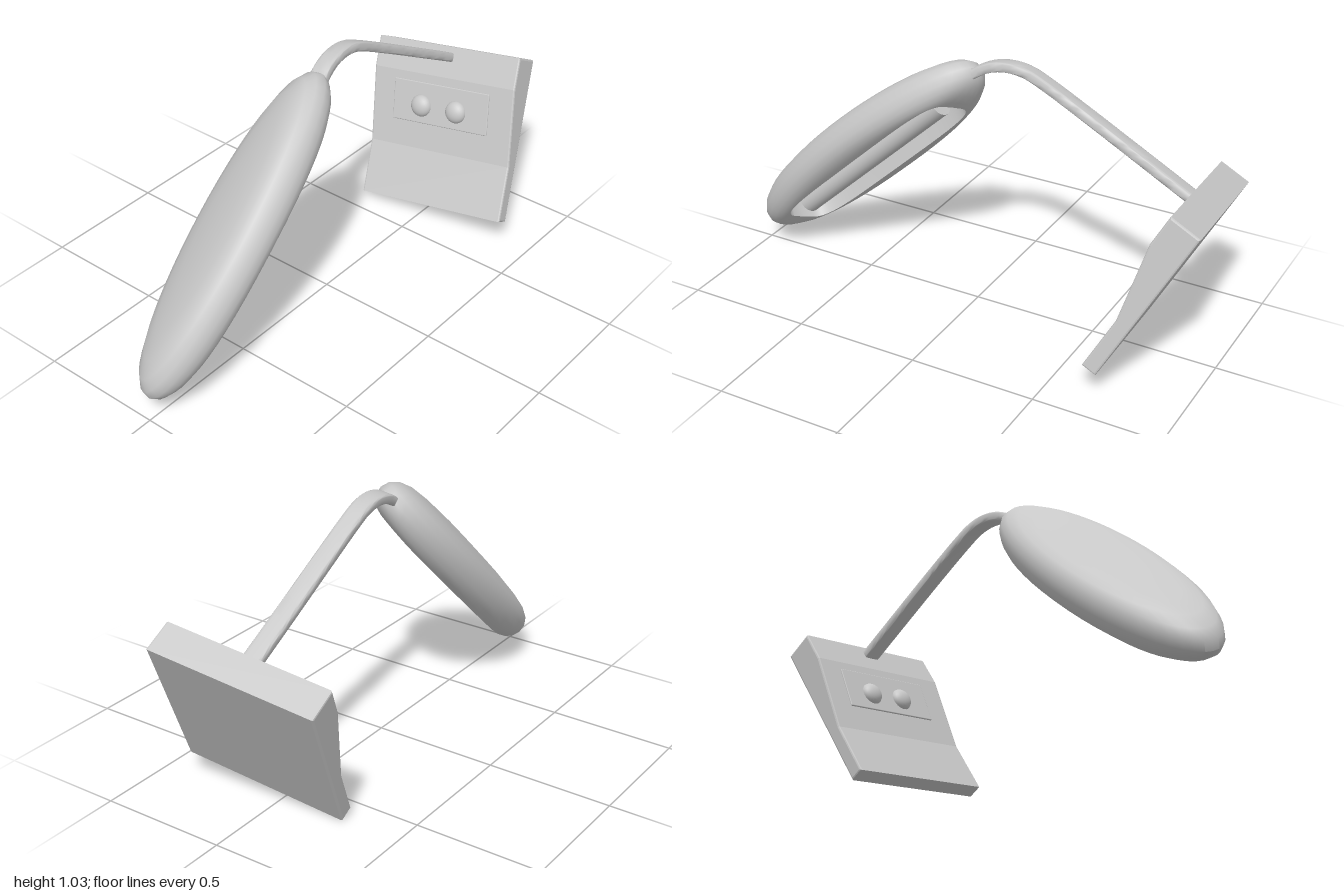
import * as THREE from 'three';
import { toCreasedNormals } from 'three/addons/utils/BufferGeometryUtils.js';
import { RoundedBoxGeometry } from 'three/addons/geometries/RoundedBoxGeometry.js';

const V = (x, y, z) => new THREE.Vector3(x, y, z);

// Skin over a list of closed rings that all have the same number of points
function loft(rings, crease) {
  const n = rings[0].length, index = [];
  for (let i = 0; i < rings.length - 1; i++) {
    for (let j = 0; j < n; j++) {
      const a = i * n + j, b = i * n + (j + 1) % n;
      index.push(a, b, a + n, b, b + n, a + n);
    }
  }
  const geo = new THREE.BufferGeometry().setFromPoints(rings.flat());
  geo.setIndex(index);
  return toCreasedNormals(geo, crease);
}

// Superellipse point in the unit square; power 2 is an ellipse, higher is boxier
function superPoint(angle, power) {
  const f = (c) => Math.sign(c) * Math.abs(c) ** (2 / power);
  return [f(Math.cos(angle)), f(Math.sin(angle))];
}

const angles = (n) => Array.from({ length: n }, (_, j) => (j / n) * Math.PI * 2);

// Group placed by its local axes
function framed(name, origin, x, y) {
  const g = new THREE.Group();
  g.name = name;
  const ax = x.clone().normalize();
  const az = ax.clone().cross(y).normalize();
  const ay = az.clone().cross(ax);
  g.quaternion.setFromRotationMatrix(new THREE.Matrix4().makeBasis(ax, ay, az));
  g.position.copy(origin);
  return g;
}

export function createModel() {
  const grey = new THREE.MeshStandardMaterial({ color: 0xc8c8c8 });
  grey.name = 'lightGrey';
  const model = new THREE.Group();
  model.name = 'deskLamp';
  const add = (parent, name, geo) => {
    const m = new THREE.Mesh(geo, grey);
    m.name = name;
    parent.add(m);
    return m;
  };

  // Head: oval shade with a rounded rim and a boxy recess in its underside
  const head = framed('lampHead', V(-0.5, 0.532, -0.02), V(0.734, 0.679, 0), V(-0.588, 0.636, -0.5));
  const section = [ // half length, half width, height, power
    [0, 0, 0.096, 2], [0.25, 0.083, 0.094, 2], [0.43, 0.143, 0.087, 2], [0.54, 0.18, 0.076, 2],
    [0.61, 0.204, 0.056, 2], [0.648, 0.217, 0.028, 2], [0.66, 0.222, -0.006, 2], [0.648, 0.216, -0.036, 2],
    [0.615, 0.2, -0.06, 2.1], [0.565, 0.174, -0.074, 2.4], [0.52, 0.148, -0.08, 3],
    [0.487, 0.124, -0.081, 4.5], [0.482, 0.12, 0.03, 4.5], [0, 0, 0.03, 4.5],
  ];
  add(head, 'shade', loft(section.map(([l, w, y, p]) => angles(48).map((a) => {
    const [c, s] = superPoint(a, p);
    return V(l * c, y, w * s);
  })), 0.7));

  // Light tube lying in the recess
  const tube = add(head, 'lightTube', new THREE.CylinderGeometry(0.047, 0.047, 0.86, 24));
  tube.rotation.z = Math.PI / 2;
  tube.position.y = -0.035;
  model.add(head);

  // Arm: flat rounded strip bending from the head down to the base
  const curve = new THREE.CatmullRomCurve3([
    V(-0.06, 0.922, -0.012), V(-0.01, 0.963, -0.022), V(0.05, 0.992, -0.031), V(0.12, 1.002, -0.037),
    V(0.19, 0.991, -0.041), V(0.26, 0.96, -0.043), V(0.4, 0.887, -0.046), V(0.62, 0.768, -0.049),
    V(0.875, 0.63, -0.051),
  ]);
  const steps = 40, rings = [], across = V(0.09, 0.144, 0.985);
  for (let i = 0; i <= steps; i++) {
    const p = curve.getPointAt(i / steps), t = curve.getTangentAt(i / steps);
    const side = across.clone().addScaledVector(t, -t.dot(across)).normalize();
    const up = t.clone().cross(side);
    const ring = angles(24).map((a) => {
      const [c, s] = superPoint(a, 6);
      return p.clone().addScaledVector(side, 0.036 * c).addScaledVector(up, 0.019 * s);
    });
    if (i === 0) rings.push(ring.map(() => p.clone()));
    rings.push(ring);
    if (i === steps) rings.push(ring.map(() => p.clone()));
  }
  add(model, 'arm', loft(rings, 0.9));

  // Base: local x runs down the slab, y away from its flat face, z across
  const base = framed('base', V(1.0, 0.677, 0.271), V(-0.464, -0.868, 0.172), V(-0.88, 0.473, 0.012));
  const profile = new THREE.Shape([
    [0, 0], [0.672, 0], [0.672, 0.06], [0.445, 0.06], [0.13, 0.127], [0, 0.127],
  ].map(([x, y]) => new THREE.Vector2(x, y)));
  const b = 0.007;
  const slab = new THREE.ExtrudeGeometry(profile, {
    depth: 0.664 - 2 * b, bevelEnabled: true, bevelSize: b, bevelThickness: b, bevelOffset: -b, bevelSegments: 2,
  });
  slab.translate(0, 0, b);
  add(base, 'baseSlab', slab);

  // Control panel and two buttons on the sloping face
  const slope = new THREE.Group();
  slope.name = 'controls';
  slope.position.set(0.25, 0.1015, 0.335);
  slope.rotation.z = -Math.atan2(0.067, 0.315);
  add(slope, 'controlPanel', new RoundedBoxGeometry(0.175, 0.01, 0.45, 3, 0.004));
  for (const z of [-0.075, 0.09]) {
    const button = add(slope, 'button', new THREE.SphereGeometry(0.047, 24, 16));
    button.scale.y = 0.7;
    button.position.set(0.012, 0.002, z);
  }
  base.add(slope);
  model.add(base);

  return model;
}
